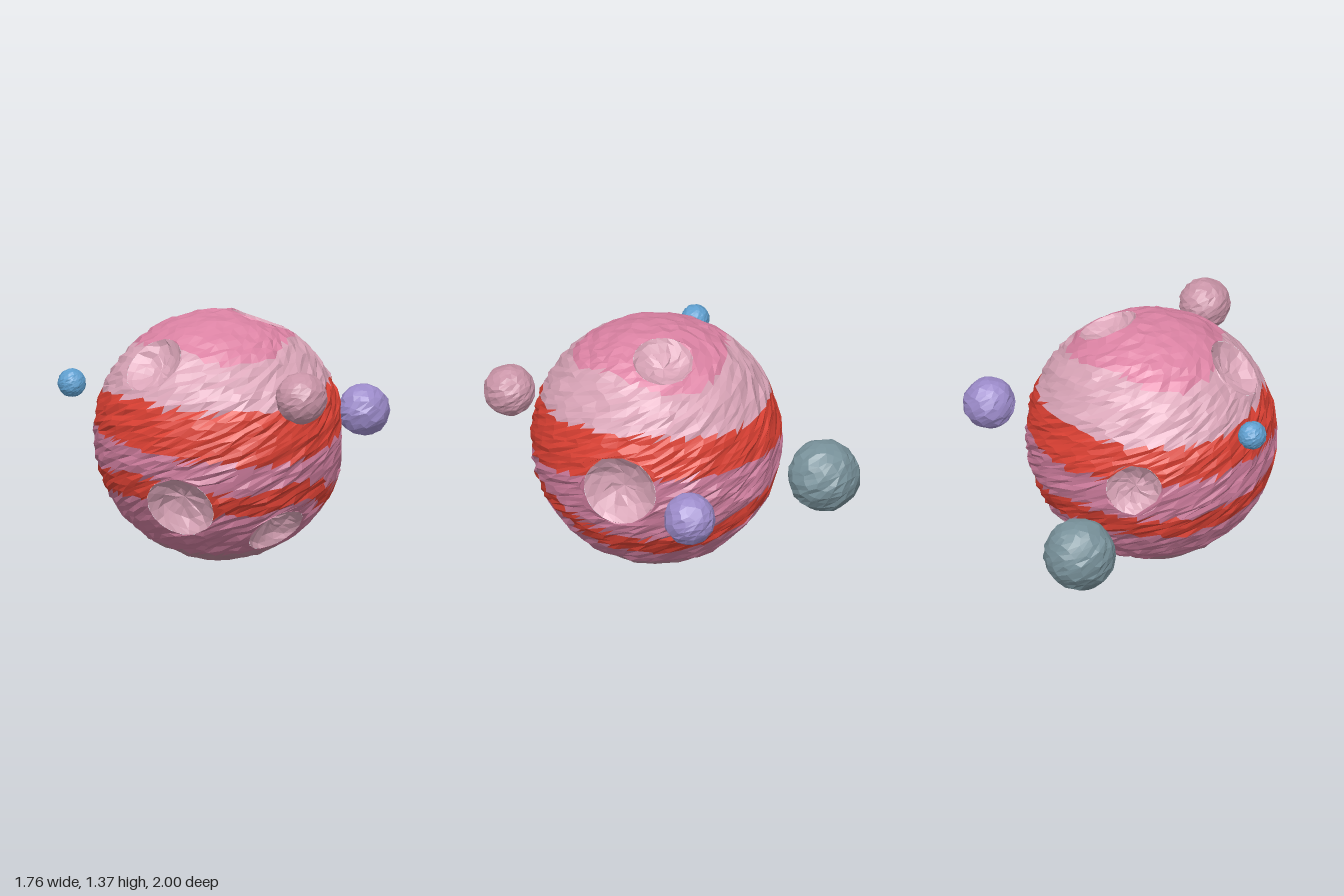
import * as THREE from 'three';
import { mergeVertices } from 'three/addons/utils/BufferGeometryUtils.js';

const R = 0.68;
const CENTRE = [-0.18, 0.69, 0.07];

// Crater directions from the planet's centre, and rim radius
const CRATERS = [
  [0.48, 0.01, 0.43, 0.205],
  [-0.075, -0.44, 0.5, 0.165],
  [-0.57, -0.27, 0.24, 0.19],
  [0.25, 0.62, 0.07, 0.165],
  [-0.47, 0.47, -0.05, 0.175],
  [0, 0.01, -0.66, 0.155],
  [0.35, -0.46, -0.33, 0.15],
].map(([x, y, z, r]) => ({ dir: new THREE.Vector3(x, y, z).normalize(), r, angle: Math.asin(r / R) }));

// Stripe heights at azimuths 0, 30 ... 330 degrees (0 = front, 90 = +x)
const UPPER_MID = [0.14, 0.19, 0.22, 0.2, 0.18, 0.17, 0.15, 0.15, 0.17, 0.18, 0.15, 0.13];
const UPPER_HALF = [0.145, 0.125, 0.11, 0.1, 0.105, 0.11, 0.105, 0.1, 0.105, 0.12, 0.13, 0.14];
const LOWER_MID = [-0.19, -0.32, -0.37, -0.32, -0.25, -0.19, -0.24, -0.25, -0.2, -0.16, -0.22, -0.25];

function mat(name, color) {
  const m = new THREE.MeshStandardMaterial({ color, flatShading: true });
  m.name = name;
  return m;
}

function seeded(seed) {
  return () => {
    seed = (seed * 16807) % 2147483647;
    return seed / 2147483647;
  };
}

function around(table, theta) {
  const t = ((theta / (Math.PI * 2) + 1) % 1) * table.length;
  const i = Math.floor(t) % table.length;
  return THREE.MathUtils.lerp(table[i], table[(i + 1) % table.length], t - Math.floor(t));
}

// Faceted ball with sheared facets and a rough surface
function rockyBall(radius, detail, twist, rough, seed) {
  const rand = seeded(seed);
  let geo = new THREE.IcosahedronGeometry(1, detail);
  geo.deleteAttribute('normal');
  geo.deleteAttribute('uv');
  geo = mergeVertices(geo, 1e-4);
  const p = geo.attributes.position;
  const v = new THREE.Vector3();
  const step = 0.5 / (detail + 1);
  for (let i = 0; i < p.count; i++) {
    v.fromBufferAttribute(p, i);
    v.x += (rand() - 0.5) * step;
    v.y += (rand() - 0.5) * step;
    v.z += (rand() - 0.5) * step;
    v.normalize();
    v.applyAxisAngle(new THREE.Vector3(0, 1, 0), twist * v.y);
    v.multiplyScalar(radius * (1 + (rand() - 0.5) * rough));
    p.setXYZ(i, v.x, v.y, v.z);
  }
  return geo;
}

// Material index of a planet face: 0 cap, 1 pale, 2 red, 3 mauve, 4 base
function bandAt(c) {
  const theta = Math.atan2(c.x, c.z);
  const mid = around(UPPER_MID, theta);
  const half = around(UPPER_HALF, theta);
  if (c.y > 0.53 + 0.03 * Math.sin(theta * 3)) return 0;
  if (c.y > mid + half) return 1;
  if (c.y > mid - half) return 2;
  if (Math.abs(c.y - around(LOWER_MID, theta)) < 0.065) return 2;
  return c.y > -0.56 + 0.03 * Math.sin(theta * 2) ? 3 : 4;
}

function planetGeometry() {
  const geo = rockyBall(R, 14, 1.9, 0.028, 77);
  const p = geo.attributes.position;
  const inside = new Array(p.count).fill(-1);
  const v = new THREE.Vector3();
  // Push vertices inside a crater out to its rim
  for (let i = 0; i < p.count; i++) {
    v.fromBufferAttribute(p, i);
    CRATERS.forEach(({ dir, angle }, k) => {
      if (v.angleTo(dir) > angle) return;
      inside[i] = k;
      const axis = new THREE.Vector3().crossVectors(dir, v).normalize();
      v.copy(dir).applyAxisAngle(axis, angle).multiplyScalar(R);
      p.setXYZ(i, v.x, v.y, v.z);
    });
  }
  // Drop the faces over each crater and sort the rest by colour
  const buckets = [[], [], [], [], []];
  const index = geo.index.array;
  const c = new THREE.Vector3();
  for (let f = 0; f < index.length; f += 3) {
    const tri = [index[f], index[f + 1], index[f + 2]];
    const k = inside[tri[0]];
    if (k >= 0 && tri.every((i) => inside[i] === k)) continue;
    c.set(0, 0, 0);
    tri.forEach((i) => c.add(v.fromBufferAttribute(p, i)));
    buckets[bandAt(c.divideScalar(3))].push(...tri);
  }
  geo.setIndex(buckets.flat());
  let start = 0;
  buckets.forEach((b, i) => {
    geo.addGroup(start, b.length, i);
    start += b.length;
  });
  geo.computeVertexNormals();
  return geo;
}

// Shallow faceted bowl, opening along +y
function craterGeometry(r, angle, seed) {
  const rand = seeded(seed);
  const profile = [1, 0.86, 0.62, 0.32, 0].map((t) =>
    new THREE.Vector2(r * t, R * Math.cos(angle) - 0.42 * r * (1 - t ** 2.4)));
  let geo = new THREE.LatheGeometry(profile, 18);
  geo.deleteAttribute('normal');
  geo.deleteAttribute('uv');
  geo = mergeVertices(geo, 1e-4);
  const p = geo.attributes.position;
  for (let i = 0; i < p.count; i++) {
    if (Math.hypot(p.getX(i), p.getZ(i)) > r * 0.95) continue;
    p.setXYZ(i, p.getX(i) + (rand() - 0.5) * 0.02, p.getY(i) + (rand() - 0.5) * 0.014, p.getZ(i) + (rand() - 0.5) * 0.02);
  }
  geo.computeVertexNormals();
  return geo;
}

export function createModel() {
  const model = new THREE.Group();
  model.name = 'planetWithMoons';

  const pale = mat('palePink', 0xd9a4b7);
  const bands = [
    mat('capPink', 0xdb82a3), pale, mat('stripeRed', 0xdb4033),
    mat('mauvePink', 0xcb7b9b), mat('duskyPink', 0xb98496),
  ];

  // Planet with striped surface and craters
  const planet = new THREE.Group();
  planet.name = 'planet';
  planet.position.set(...CENTRE);
  const surface = new THREE.Mesh(planetGeometry(), bands);
  surface.name = 'planetSurface';
  planet.add(surface);
  CRATERS.forEach(({ dir, r, angle }, i) => {
    const crater = new THREE.Mesh(craterGeometry(r, angle, 31 + i * 17), pale);
    crater.name = `crater${i + 1}`;
    crater.quaternion.setFromUnitVectors(new THREE.Vector3(0, 1, 0), dir);
    planet.add(crater);
  });
  model.add(planet);

  // Moons around it
  const moons = [
    ['pinkMoon', 0xc994a7, [-0.365, 1.07, 0.86], 0.14, 4],
    ['blueMoon', 0x5f9fcf, [-0.805, 1.005, -0.44], 0.077, 4],
    ['purpleMoon', 0x9c8bca, [0.735, 0.69, 0.28], 0.142, 3],
    ['greyMoon', 0x78919a, [0.09, 0.4, -0.805], 0.196, 4],
  ];
  moons.forEach(([name, color, pos, r, detail], i) => {
    const geo = rockyBall(r, detail, 1.2, 0.06, 101 + i * 53);
    geo.computeVertexNormals();
    const moon = new THREE.Mesh(geo, mat(name + 'Colour', color));
    moon.name = name;
    moon.position.set(...pos);
    model.add(moon);
  });
  return model;
}
